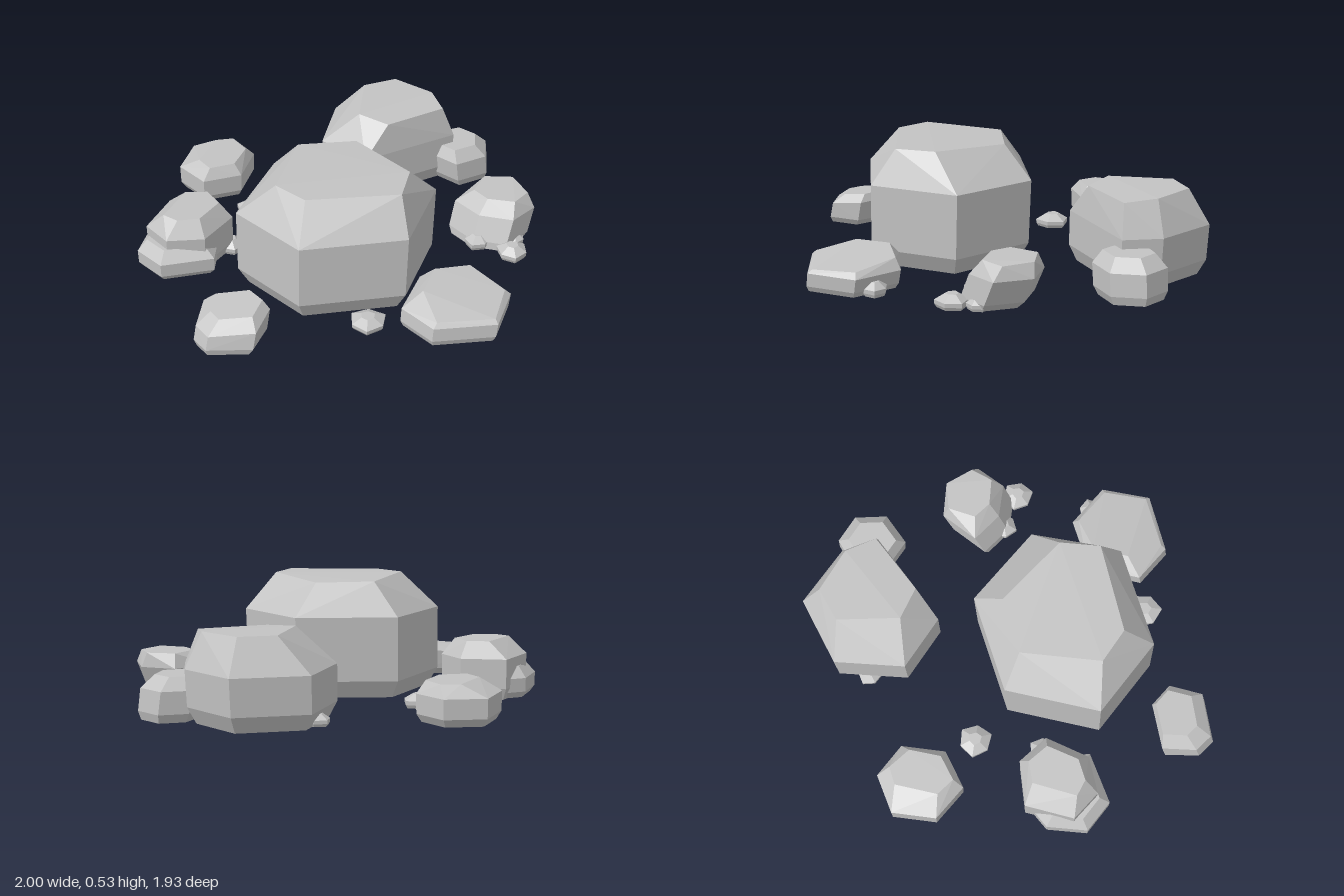
import * as THREE from 'three';
import { ConvexGeometry } from 'three/addons/geometries/ConvexGeometry.js';

const stone = new THREE.MeshStandardMaterial({ color: 0xc3c3c3 });
stone.name = 'grey stone';
stone.flatShading = true;

// Ring of [x, z] corners scaled about its centre and shifted
function scaled(ring, s, dx = 0, dz = 0) {
  const cx = ring.reduce((a, p) => a + p[0], 0) / ring.length;
  const cz = ring.reduce((a, p) => a + p[1], 0) / ring.length;
  return ring.map(([x, z]) => [cx + (x - cx) * s + dx, cz + (z - cz) * s + dz]);
}

// Faceted boulder: chamfered foot, upright wall, sloping shoulder and a top.
// top is a list of [x, z, y] corners, or is derived by shrinking the outline
function boulder(name, outline, o) {
  const { h, shoulder = h * 0.68, foot = h * 0.2, footScale = 0.87, lean = [0, 0], tilt = 0 } = o;
  const pts = [];
  const add = (ring, y) => ring.forEach(([x, z, py]) => pts.push(new THREE.Vector3(x, py ?? y, z)));
  add(scaled(outline, footScale, -lean[0], -lean[1]), 0);
  add(scaled(outline, 0.99, -lean[0] * 0.7, -lean[1] * 0.7), foot);
  const cx = scaled(outline, 0)[0][0];
  const slope = ([x], y) => y + (x - cx) * tilt;
  add(outline.map(p => [...p, slope(p, shoulder)]), shoulder);
  const top = o.top ?? scaled(outline, o.topScale ?? 0.72, lean[0], lean[1]).map(p => [...p, slope(p, h)]);
  add(top, h);
  const mesh = new THREE.Mesh(new ConvexGeometry(pts), stone);
  mesh.name = name;
  return mesh;
}

// Small low stone with six irregular corners
function pebble(x, z, r, h, turn) {
  const ring = [];
  for (let i = 0; i < 6; i++) {
    const a = turn + i * Math.PI / 3;
    const k = r * (i % 2 ? 0.9 : 1);
    ring.push([x + Math.cos(a) * k, z + Math.sin(a) * k]);
  }
  return boulder('pebble', ring, { h, shoulder: h * 0.55, foot: h * 0.25, topScale: 0.4, footScale: 0.87 });
}

export function createModel() {
  const group = new THREE.Group();
  group.name = 'rockCluster';

  // Large boulders
  group.add(boulder('mainBoulder',
    [[-0.5, -0.19], [-0.08, -0.3], [0.245, 0.02], [0.16, 0.42], [-0.24, 0.535], [-0.57, 0.2]],
    { h: 0.53, shoulder: 0.37, foot: 0.08, footScale: 0.88, lean: [0.012, 0],
      top: [[-0.42, -0.03], [-0.08, -0.16, 0.52], [0.1, 0.03, 0.515], [0, 0.38], [-0.17, 0.45], [-0.44, 0.14]] }));
  group.add(boulder('sideBoulder',
    [[0.395, -0.37], [0.69, -0.5], [0.965, -0.31], [0.93, -0.01], [0.81, 0.12], [0.37, -0.1]],
    { h: 0.385, shoulder: 0.23, foot: 0.07, lean: [0.01, 0],
      top: [[0.49, -0.22], [0.74, -0.36], [0.88, -0.27], [0.87, -0.05], [0.78, 0.07, 0.375], [0.5, -0.06, 0.375]] }));

  // Medium boulders
  group.add(boulder('frontSlab',
    [[-0.34, 0.57], [-0.1, 0.51], [0.07, 0.68], [0.02, 0.9], [-0.2, 0.965], [-0.385, 0.76]],
    { h: 0.14, shoulder: 0.085, foot: 0.025, footScale: 0.93, lean: [0.015, 0],
      top: [[-0.25, 0.62, 0.145], [-0.09, 0.58, 0.15], [0.04, 0.68, 0.135], [0, 0.88, 0.11], [-0.19, 0.945, 0.1], [-0.36, 0.76, 0.105]] }));
  group.add(boulder('leaningBoulder',
    [[0.43, 0.365], [0.62, 0.4], [0.685, 0.55], [0.59, 0.695], [0.44, 0.67], [0.385, 0.52]],
    { h: 0.21, shoulder: 0.145, foot: 0.035, lean: [0.07, 0],
      top: [[0.47, 0.44], [0.6, 0.42], [0.67, 0.53], [0.6, 0.65, 0.205], [0.49, 0.645], [0.44, 0.53]] }));
  group.add(boulder('backLeftBoulder',
    [[-0.6, -0.63], [-0.38, -0.68], [-0.265, -0.51], [-0.32, -0.36], [-0.53, -0.35], [-0.64, -0.48]],
    { h: 0.26, shoulder: 0.185,
      top: [[-0.57, -0.55], [-0.37, -0.59], [-0.31, -0.51], [-0.35, -0.41], [-0.5, -0.4], [-0.57, -0.47]] }));
  group.add(boulder('backLeftSlab',
    [[-0.67, -0.63], [-0.5, -0.7], [-0.36, -0.64], [-0.34, -0.42], [-0.52, -0.31], [-0.7, -0.47]],
    { h: 0.14, shoulder: 0.09, topScale: 0.75 }));
  group.add(boulder('backBoulder',
    [[-0.05, -0.9], [0.14, -0.97], [0.28, -0.85], [0.25, -0.68], [0.06, -0.61], [-0.09, -0.72]],
    { h: 0.172, shoulder: 0.12,
      top: [[-0.01, -0.81], [0.18, -0.86], [0.24, -0.8], [0.2, -0.69], [0.06, -0.65], [-0.04, -0.72]] }));
  group.add(boulder('rightBoulder',
    [[0.73, 0.04], [0.89, -0.01], [1, 0.06], [0.99, 0.2], [0.86, 0.275], [0.715, 0.2]],
    { h: 0.19, shoulder: 0.135, topScale: 0.7, lean: [-0.015, -0.01] }));
  group.add(boulder('leftBoulder',
    [[-0.94, -0.07], [-0.8, -0.14], [-0.67, 0.02], [-0.7, 0.14], [-0.85, 0.18], [-0.97, 0.02]],
    { h: 0.143, shoulder: 0.105, topScale: 0.7, lean: [0.03, 0], tilt: 0.12 }));

  // Scattered pebbles: x, z, radius, height, turn
  [[-0.02, -0.48, 0.08, 0.06, 0.2], [-0.425, 0.455, 0.085, 0.05, 0.5],
    [0.38, 0.705, 0.075, 0.06, 0.3], [0.03, 0.8, 0.06, 0.06, 0.8],
    [-0.315, -0.38, 0.065, 0.06, 0.1], [0.365, 0.53, 0.065, 0.06, 0.9],
    [0.48, 0.66, 0.05, 0.05, 0.4], [0.57, -0.42, 0.06, 0.05, 0.6],
  ].forEach(p => group.add(pebble(...p)));

  return group;
}
